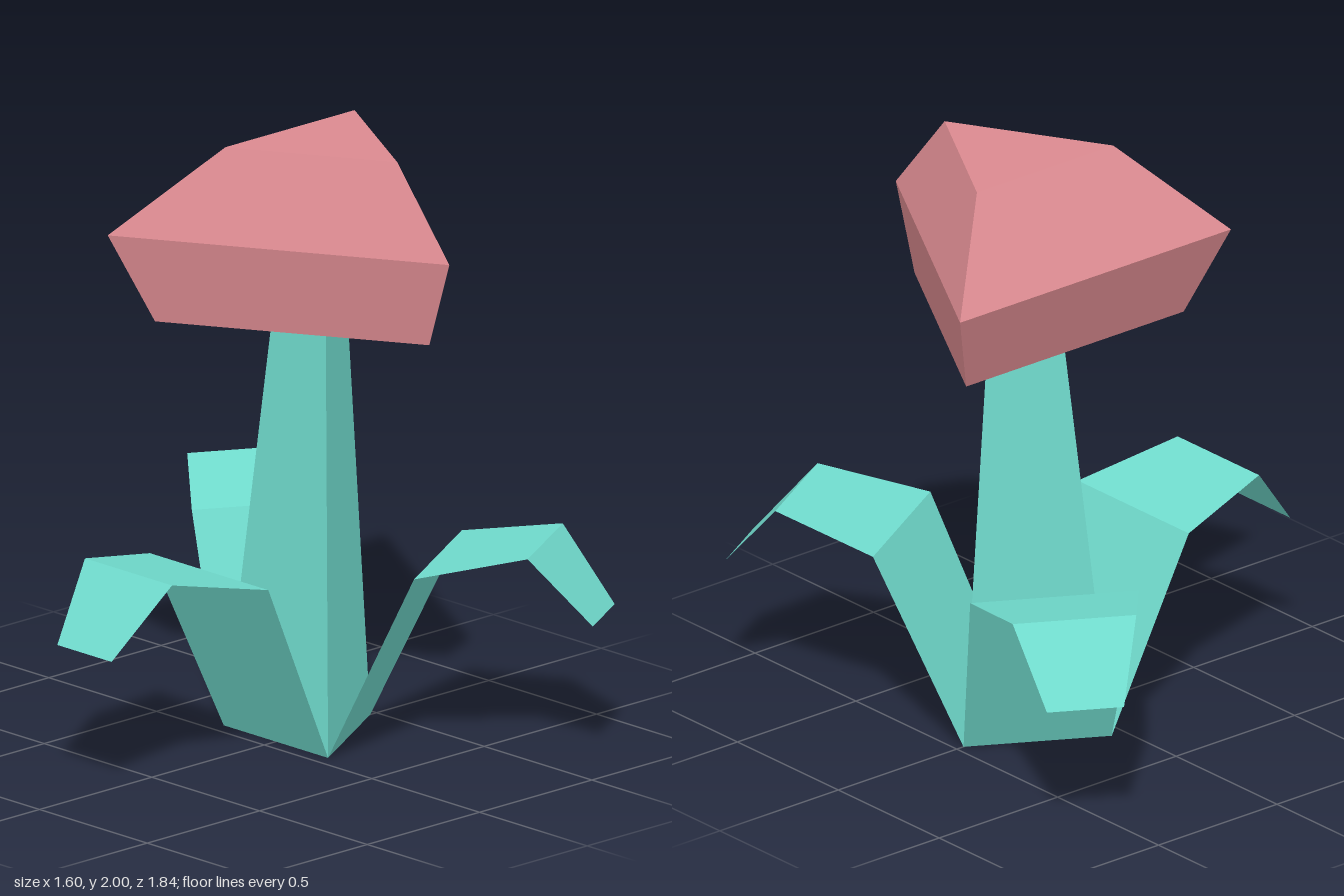
import * as THREE from 'three';

const leafGreen = new THREE.MeshStandardMaterial({ name: 'leafGreen', color: 0x70dbcd, flatShading: true, side: THREE.DoubleSide });
const stemGreen = leafGreen;
const capPink = new THREE.MeshStandardMaterial({ name: 'capPink', color: 0xdb8a90, flatShading: true });

function geometryFrom(positions) {
  const g = new THREE.BufferGeometry();
  g.setAttribute('position', new THREE.Float32BufferAttribute(positions.flat(), 3));
  g.computeVertexNormals();
  return g;
}

// Closed solid lofted through triangular rings [x, y, z, radius]
function triangleLoft(rings, turn) {
  const pts = rings.map(([x, y, z, r]) => [0, 1, 2].map((i) => {
    const a = turn + (i * Math.PI * 2) / 3;
    return [x + r * Math.cos(a), y, z - r * Math.sin(a)];
  }));
  const out = [];
  for (let k = 0; k < pts.length - 1; k++) {
    for (let i = 0; i < 3; i++) {
      const j = (i + 1) % 3;
      out.push(pts[k][i], pts[k][j], pts[k + 1][j]);
      out.push(pts[k][i], pts[k + 1][j], pts[k + 1][i]);
    }
  }
  const bottom = pts[0], top = pts[pts.length - 1];
  out.push(bottom[0], bottom[2], bottom[1], ...top);
  return geometryFrom(out);
}

// Folded strip running out along +x through sections [distance, height, half width]
function leafStrip(sections) {
  const out = [];
  for (let k = 0; k < sections.length - 1; k++) {
    const [r0, y0, w0] = sections[k];
    const [r1, y1, w1] = sections[k + 1];
    out.push([r0, y0, w0], [r1, y1, w1], [r1, y1, -w1]);
    out.push([r0, y0, w0], [r1, y1, -w1], [r0, y0, -w0]);
  }
  return geometryFrom(out);
}

function addMesh(parent, name, geometry, material) {
  const mesh = new THREE.Mesh(geometry, material);
  mesh.name = name;
  parent.add(mesh);
  return mesh;
}

export function createModel() {
  const model = new THREE.Group();
  model.name = 'mushroomPlant';

  // Tapering, slightly leaning three-sided stem
  addMesh(model, 'stem', triangleLoft([
    [0.192, 0, 0, 0.28],
    [0.228, 1.42, 0, 0.14],
  ], 0), stemGreen);

  // Lopsided three-sided cap
  addMesh(model, 'cap', triangleLoft([
    [0.227, 1.417, 0, 0.53],
    [0.227, 1.708, -0.037, 0.66],
    [0.227, 2, 0.049, 0.332],
  ], -Math.PI / 2), capPink);

  // Three drooping leaves, one from each side of the stem base
  const leaf = leafStrip([
    [0.14, 0, 0.242],
    [0.437, 0.637, 0.275],
    [0.796, 0.714, 0.202],
    [0.992, 0.482, 0.126],
  ]);
  for (let i = 0; i < 3; i++) {
    const mesh = addMesh(model, 'leaf' + (i + 1), leaf, leafGreen);
    mesh.position.x = 0.192;
    mesh.rotation.y = Math.PI / 3 + (i * Math.PI * 2) / 3;
  }
  return model;
}
